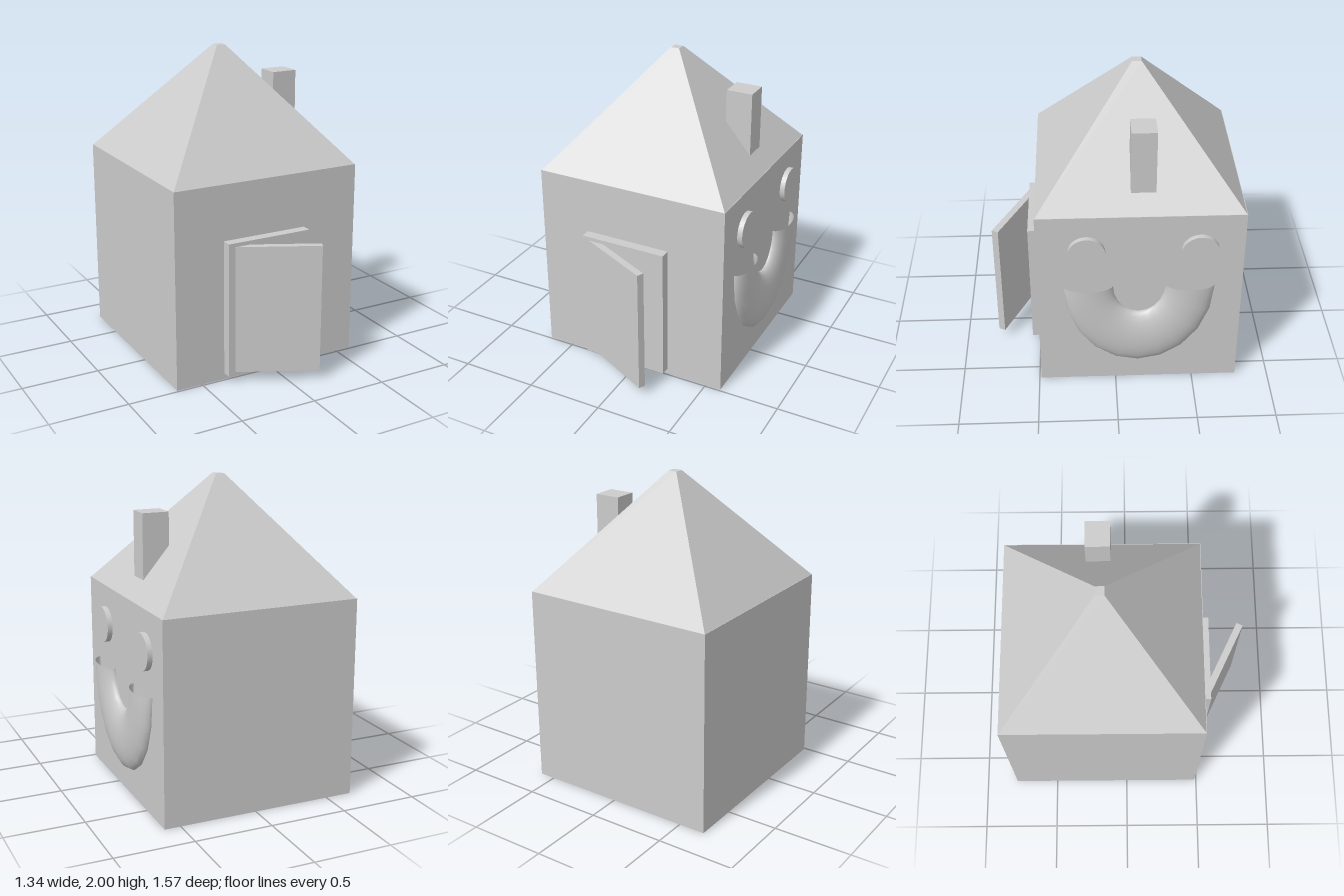
import * as THREE from 'three';

const flat = new THREE.MeshStandardMaterial({ color: 0xcccccc, flatShading: true });
const smooth = new THREE.MeshStandardMaterial({ color: 0xcccccc });
const open = new THREE.MeshStandardMaterial({ color: 0xcccccc, side: THREE.DoubleSide });

export function createModel() {
  const house = new THREE.Group();
  house.name = 'house';

  const add = (name, geometry, material, x, y, z) => {
    const mesh = new THREE.Mesh(geometry, material);
    mesh.name = name;
    mesh.position.set(x, y, z);
    house.add(mesh);
    return mesh;
  };
  // Box given by its minimum and maximum corners
  const addBox = (name, a, b) => add(
    name,
    new THREE.BoxGeometry(b[0] - a[0], b[1] - a[1], b[2] - a[2]),
    flat,
    (a[0] + b[0]) / 2, (a[1] + b[1]) / 2, (a[2] + b[2]) / 2
  );

  // Walls and chimney
  addBox('walls', [-0.672, 0, -0.788], [0.604, 1.277, 0.488]);
  addBox('chimney', [0.338, 1.385, -0.245], [0.508, 1.796, -0.092]);

  // Pyramid roof with a small flat top
  const roof = new THREE.CylinderGeometry(0.029 * Math.SQRT2, 0.638 * Math.SQRT2, 0.727, 4);
  roof.rotateY(Math.PI / 4);
  add('roof', roof, flat, -0.034, 1.6365, -0.15);

  // Doorway slab and the door standing ajar
  addBox('doorway', [-0.343, 0.04, 0.47], [0.226, 0.92, 0.553]);
  const doorAngle = THREE.MathUtils.degToRad(26);
  const doorLength = 0.57;
  const doorGeometry = new THREE.BoxGeometry(doorLength, 0.83, 0.045);
  doorGeometry.translate(-doorLength / 2, 0, 0);
  const door = add('door', doorGeometry, flat, 0.186, 0.48, 0.764);
  door.rotation.y = -doorAngle;

  // Round eyes on the side wall
  for (const z of [0.18, -0.515]) {
    const eye = new THREE.CylinderGeometry(0.116, 0.116, 0.07, 32);
    eye.rotateZ(-Math.PI / 2);
    add('eye', eye, smooth, 0.602, 1.024, z);
  }

  // Smile: a flattened, stretched half ring with open ends
  const smile = new THREE.TorusGeometry(0.318, 0.155, 24, 10, Math.PI);
  smile.rotateZ(Math.PI);
  smile.rotateY(Math.PI / 2);
  smile.scale(0.44, 1.285, 1);
  add('smile', smile, open, 0.604, 0.765, -0.145);

  return house;
}
